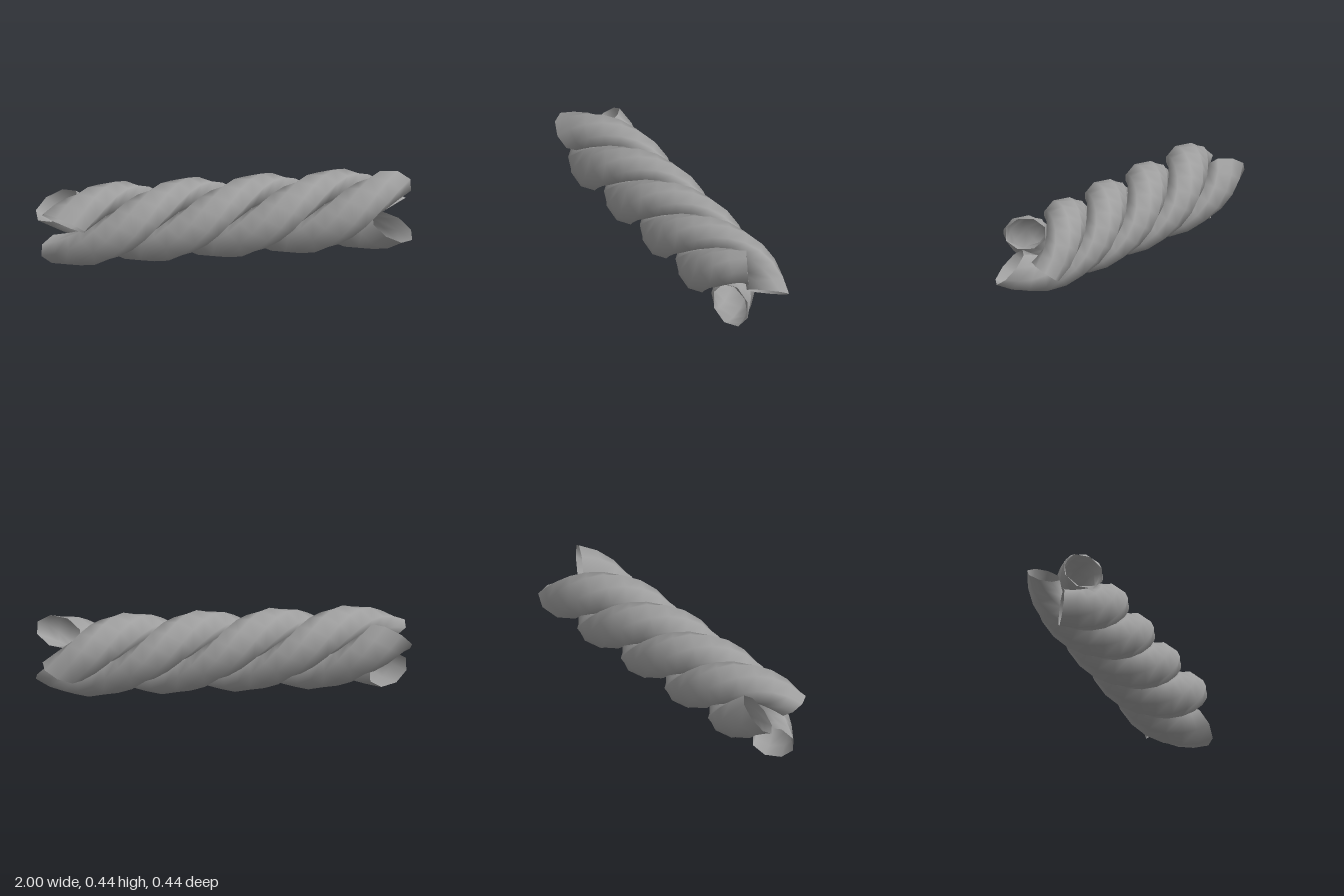
import * as THREE from 'three';

const SIDES = 8;            // corners of a strand's cross-section
const STEPS = 27;           // segments along a strand
const TURNS = 1.5;          // twist from end to end
const HALF = 0.89;          // x of the last ring's centre
const AXIS_Y = 0.2225;      // height of the rope's axis
const COIL = 0.1315;        // distance of strand centre from the axis
const RADIAL = 0.091;       // ring's half size away from the axis
const ACROSS = 0.058;       // ring's half size around the axis
const LEAN = 0.011;         // sideways lean of the ring's outer side
const SLANT = 1.95;         // shift along x per unit around the axis
const CORNER = THREE.MathUtils.degToRad(10);
const END_ANGLE = THREE.MathUtils.degToRad(3.5);

// Sweep a slanted octagonal ring along a helix around the x axis, ends left open
function strandGeometry(offset) {
  const positions = [], index = [];
  for (let i = 0; i <= STEPS; i++) {
    const u = i / STEPS;
    const phi = END_ANGLE + offset + (1 - u) * TURNS * Math.PI * 2;
    const x = -HALF + 2 * HALF * u;
    const s = Math.sin(phi), c = Math.cos(phi);
    for (let j = 0; j < SIDES; j++) {
      const a = CORNER + j / SIDES * Math.PI * 2;
      const r = COIL + RADIAL * Math.cos(a);
      const t = ACROSS * Math.sin(a) + LEAN * Math.cos(a);
      positions.push(x + SLANT * t, AXIS_Y + r * c - t * s, r * s + t * c);
    }
  }
  for (let i = 0; i < STEPS; i++) {
    for (let j = 0; j < SIDES; j++) {
      const a = i * SIDES + j, b = i * SIDES + (j + 1) % SIDES;
      const d = a + SIDES, e = b + SIDES;
      index.push(a, b, d, b, e, d);
    }
  }
  const geometry = new THREE.BufferGeometry();
  geometry.setAttribute('position', new THREE.Float32BufferAttribute(positions, 3));
  geometry.setIndex(index);
  geometry.computeVertexNormals();
  return geometry;
}

export function createModel() {
  const rope = new THREE.Group();
  rope.name = 'twistedRope';
  const material = new THREE.MeshStandardMaterial({ color: 0xa0a0a0, side: THREE.DoubleSide });

  // Three equal strands, a third of a turn apart
  for (let n = 0; n < 3; n++) {
    const strand = new THREE.Mesh(strandGeometry(n * Math.PI * 2 / 3), material);
    strand.name = `strand${n + 1}`;
    rope.add(strand);
  }
  return rope;
}
